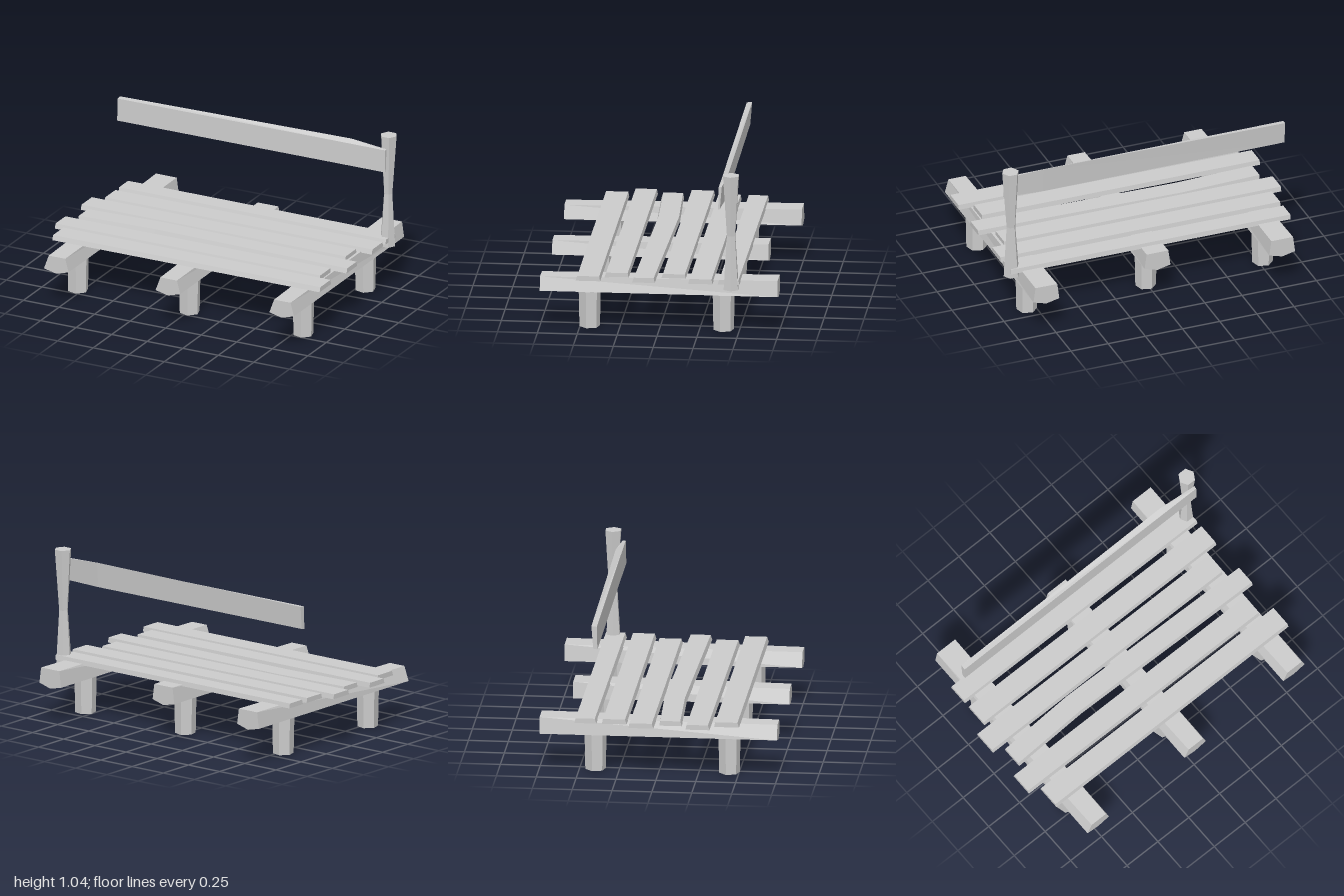
import * as THREE from 'three';

const material = new THREE.MeshStandardMaterial({ color: 0xcccccc, flatShading: true, side: THREE.DoubleSide });

// Closed solid through rings of equal point count; rings run counter-clockwise
// when looking back along the direction from the first ring to the last.
function loft(name, rings) {
  const n = rings[0].length, pos = [];
  const tri = (a, b, c) => pos.push(...a, ...b, ...c);
  for (let r = 0; r < rings.length - 1; r++) {
    for (let i = 0; i < n; i++) {
      const j = (i + 1) % n, A = rings[r], B = rings[r + 1];
      tri(A[i], A[j], B[j]);
      tri(A[i], B[j], B[i]);
    }
  }
  const first = rings[0], last = rings[rings.length - 1];
  for (let i = 1; i < n - 1; i++) {
    tri(first[0], first[i + 1], first[i]);
    tri(last[0], last[i], last[i + 1]);
  }
  const geometry = new THREE.BufferGeometry();
  geometry.setAttribute('position', new THREE.Float32BufferAttribute(pos, 3));
  geometry.computeVertexNormals();
  const mesh = new THREE.Mesh(geometry, material);
  mesh.name = name;
  return mesh;
}

// Five-sided cross beam, a little higher and wider on top at the back
function beam(x, zBack, zFront) {
  const section = (z, top, half, lean) => [
    [x, 0.22, z], [x + 0.087, 0.245, z], [x + half + lean, top, z],
    [x - half + lean, top, z], [x - 0.087, 0.24, z],
  ];
  return loft('crossBeam', [section(zBack, 0.345, 0.073, 0), section(zFront, 0.332, 0.058, 0.005)]);
}

// Hexagonal upright from [y, centreX, centreZ, radius] stations
function upright(name, turn, stations) {
  return loft(name, stations.map(([y, cx, cz, r]) =>
    Array.from({ length: 6 }, (_, i) => {
      const a = turn - i * Math.PI / 3;
      return [cx + r * Math.cos(a), y, cz + r * Math.sin(a)];
    })));
}

// Seat plank from [x, zBack, zFront] stations, slightly narrower on top
function slat(stations) {
  return loft('seatSlat', stations.map(([x, zb, zf]) => [
    [x, 0.335, zf + 0.004], [x, 0.335, zb], [x, 0.366, zb + 0.006], [x, 0.366, zf - 0.006],
  ]));
}

export function createModel() {
  const group = new THREE.Group();

  // Beams and their two legs each
  for (const [x, zBack] of [[-0.772, -0.745], [0.013, -0.612], [0.813, -0.745]]) {
    group.add(beam(x, zBack, 0.745));
    for (const z of [0.44, -0.4]) {
      group.add(upright('leg', Math.PI / 12, [
        [0, x - 0.005, z, 0.065], [0.235, x - 0.005, z, 0.07],
      ]));
    }
  }

  // Seat slats, the fourth one bent
  const slats = [
    [[-0.92, -0.518, -0.385], [0.96, -0.513, -0.38]],
    [[-0.92, -0.346, -0.195], [0.96, -0.344, -0.195]],
    [[-0.995, -0.172, -0.02], [0.865, -0.168, -0.018]],
    [[-0.925, 0.015, 0.152], [-0.4, -0.01, 0.13], [0.965, 0.018, 0.155]],
    [[-0.995, 0.186, 0.332], [0.87, 0.19, 0.338]],
    [[-0.92, 0.358, 0.51], [0.96, 0.36, 0.51]],
  ];
  for (const s of slats) group.add(slat(s));

  // Single waisted back post
  group.add(upright('backPost', 0, [
    [0.3, 0.934, -0.459, 0.052], [0.65, 0.937, -0.459, 0.029], [1.042, 0.941, -0.459, 0.055],
  ]));

  // Backrest board, crooked near the post
  const boardStations = [[-0.925, 0.97, -0.412, -0.378], [0.7, 0.986, -0.42, -0.383], [0.955, 0.968, -0.402, -0.383]];
  group.add(loft('backrestBoard', boardStations.map(([x, top, zb, zf]) => [
    [x, 0.82, zf + 0.004], [x, 0.825, zb + 0.012], [x, top, zb], [x, 0.967, zf],
  ])));

  return group;
}
